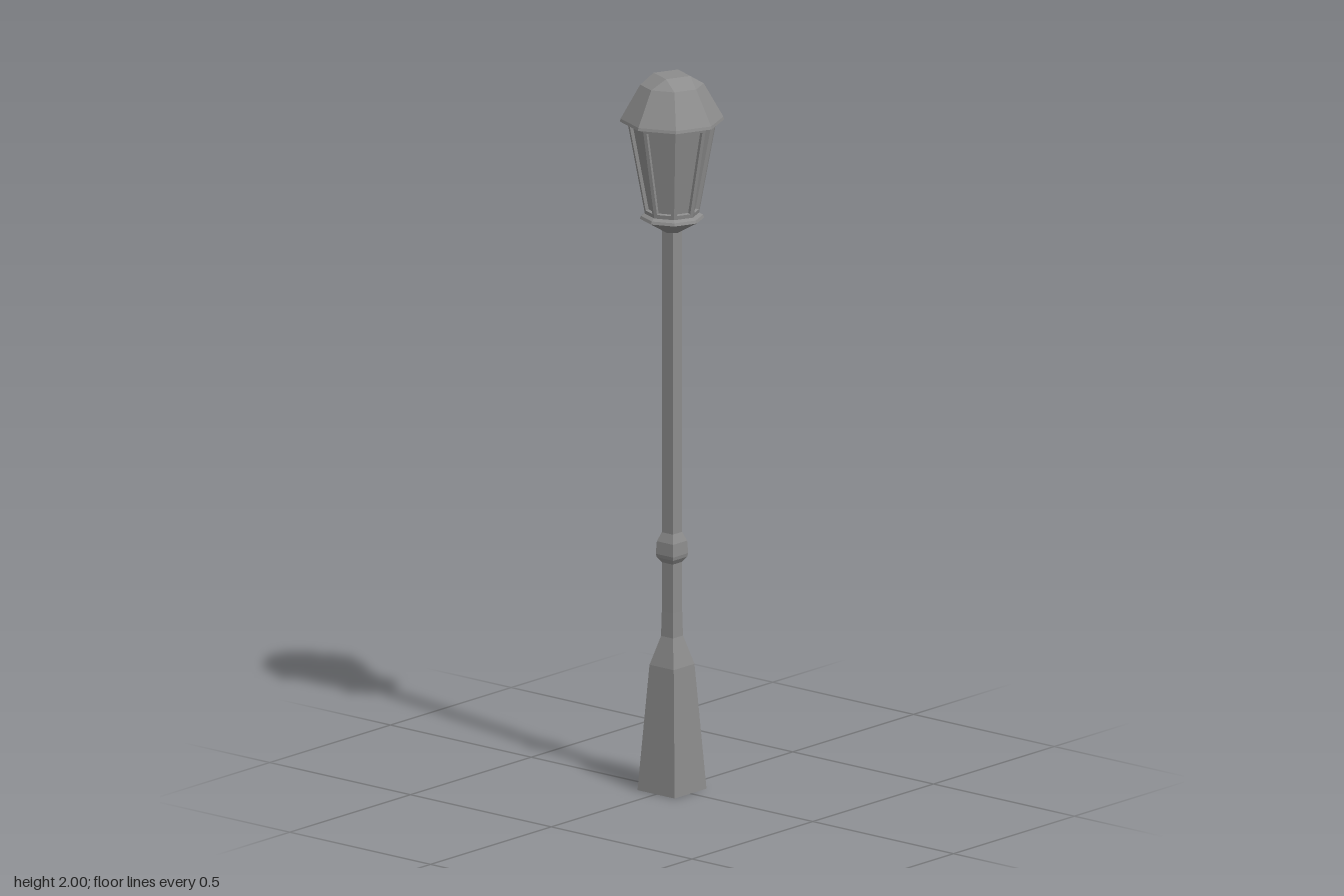
import * as THREE from 'three';
import { ConvexGeometry } from 'three/addons/geometries/ConvexGeometry.js';

// Dark grey painted metal
const mat = new THREE.MeshStandardMaterial({ color: 0x8c8c8c, flatShading: true, side: THREE.DoubleSide });

function addMesh(parent, name, geometry) {
  const mesh = new THREE.Mesh(geometry, mat);
  mesh.name = name;
  parent.add(mesh);
}

// Faceted turned profile; points are [radius, y] from bottom to top
function turned(points, sides) {
  return new THREE.LatheGeometry(points.map(([r, y]) => new THREE.Vector2(r, y)), sides);
}

// Square section; points are [half width, y]
function squareTurned(points) {
  const g = turned(points.map(([w, y]) => [w * Math.SQRT2, y]), 4);
  return g.rotateY(Math.PI / 4);
}

// Quads given as four counter-clockwise corners
function quads(list) {
  const pos = [];
  for (const [a, b, c, d] of list)
    for (const p of [a, b, c, a, c, d]) pos.push(p.x, p.y, p.z);
  const g = new THREE.BufferGeometry();
  g.setAttribute('position', new THREE.Float32BufferAttribute(pos, 3));
  g.computeVertexNormals();
  return g;
}

// One side of the lantern: a tapered frame with a recessed pane, facing +z
function lanternSide() {
  const y0 = 1.61, y1 = 1.872, r0 = 0.073, r1 = 0.121;
  const s = Math.sin(Math.PI / 8), c = Math.cos(Math.PI / 8);
  const loop = (border, rail, depth) => {
    const at = (side, t) => {
      const r = r0 + (r1 - r0) * t;
      return new THREE.Vector3(side * (r * s - border), y0 + (y1 - y0) * t, r * c - depth);
    };
    return [at(-1, rail), at(1, rail), at(1, 1 - rail), at(-1, 1 - rail)];
  };
  const loops = [loop(0, 0, 0), loop(0.009, 0.05, 0), loop(0.011, 0.058, 0.009)];
  const frame = [];
  for (let k = 0; k < 2; k++)
    for (let i = 0; i < 4; i++) {
      const j = (i + 1) % 4;
      frame.push([loops[k][i], loops[k][j], loops[k + 1][j], loops[k + 1][i]]);
    }
  return { frame: quads(frame), pane: quads([loops[2]]) };
}

export function createModel() {
  const model = new THREE.Group();
  model.name = 'streetLamp';

  // Square post with flared foot, open underneath
  addMesh(model, 'foot', squareTurned([[0.066, 0], [0.043, 0.35], [0.021, 0.43], [0.0195, 0.5]]));
  addMesh(model, 'pole', squareTurned([[0.0195, 0.5], [0.0195, 1.575]]));
  addMesh(model, 'collar', squareTurned([
    [0.0195, 0.636], [0.029, 0.65], [0.031, 0.66], [0.029, 0.695], [0.0195, 0.72],
  ]));

  // Lantern
  const lantern = new THREE.Group();
  lantern.name = 'lantern';
  model.add(lantern);
  addMesh(lantern, 'lanternCup', turned(
    [[0, 1.558], [0.02, 1.56], [0.087, 1.598], [0.084, 1.606], [0.07, 1.614], [0, 1.614]], 8));

  const { frame, pane } = lanternSide();
  for (let i = 0; i < 8; i++) {
    const side = new THREE.Group();
    side.name = 'lanternSide' + (i + 1);
    side.rotation.y = (i + 0.5) * Math.PI / 4;
    addMesh(side, 'windowFrame', frame);
    addMesh(side, 'windowPane', pane);
    lantern.add(side);
  }

  // Roof skirt with a flat underside, and a faceted cap
  addMesh(lantern, 'roof', turned([[0, 1.871], [0.141, 1.871], [0.139, 1.879], [0.086, 1.973]], 8));
  const capPoints = [];
  const ring = (n, r, y, start) => {
    for (let i = 0; i < n; i++) {
      const a = start + (i / n) * Math.PI * 2;
      capPoints.push(new THREE.Vector3(r * Math.cos(a), y, r * Math.sin(a)));
    }
  };
  ring(8, 0.086, 1.973, 0);
  ring(4, 0.052, 2, Math.PI * 3 / 8);
  addMesh(lantern, 'roofCap', new ConvexGeometry(capPoints));

  return model;
}
